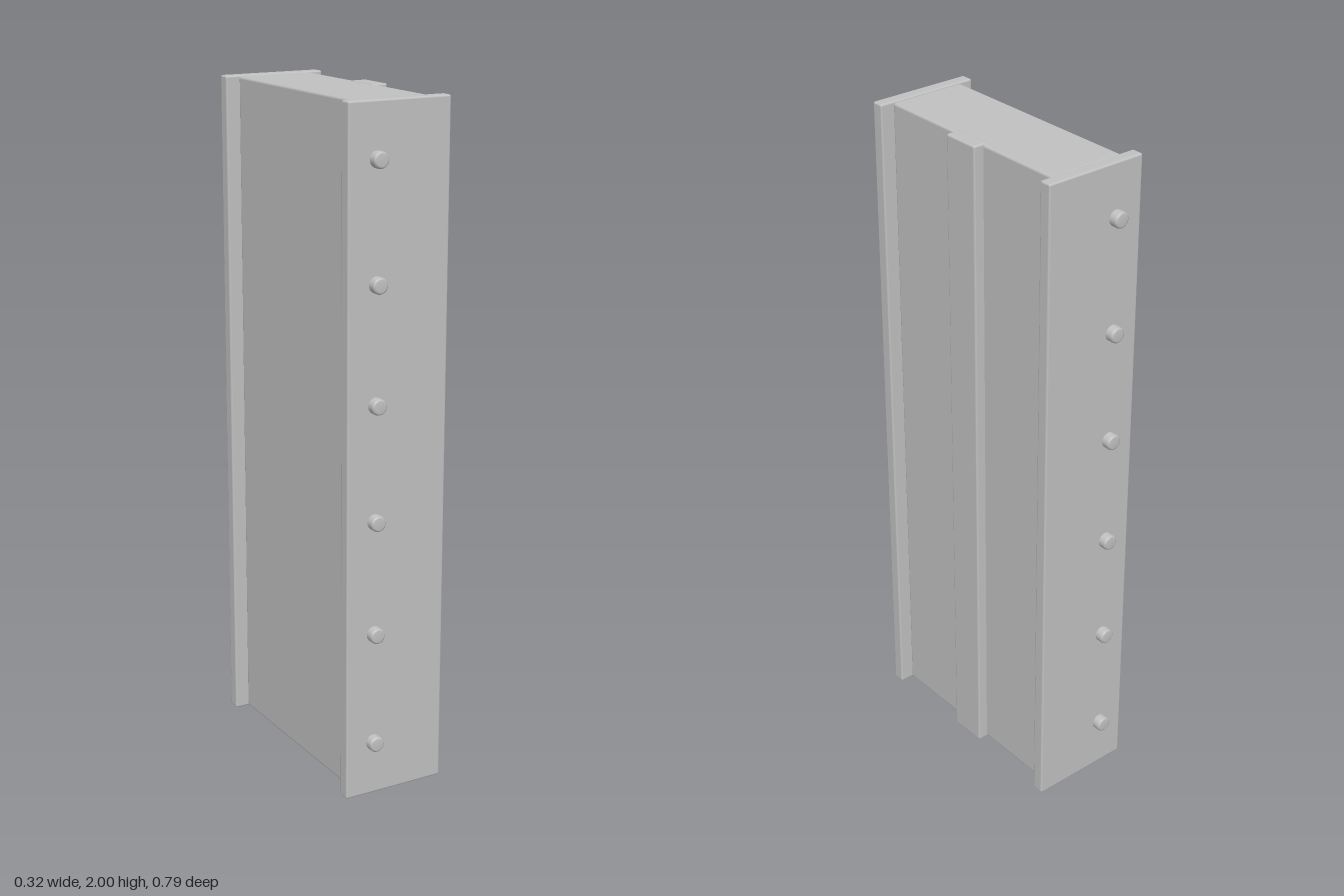
import * as THREE from 'three';
import { RoundedBoxGeometry } from 'three/addons/geometries/RoundedBoxGeometry.js';

export function createModel() {
  const model = new THREE.Group();
  const steel = new THREE.MeshStandardMaterial({ color: 0xc0c0c0 });
  steel.name = 'steel grey';

  // Softly bevelled block given by its minimum and maximum corners
  function block(name, min, max, bevel) {
    const size = max.map((v, i) => v - min[i]);
    const mesh = new THREE.Mesh(new RoundedBoxGeometry(...size, 2, bevel), steel);
    mesh.name = name;
    mesh.position.set(...max.map((v, i) => (v + min[i]) / 2));
    model.add(mesh);
  }

  // Core slab and the rib along its left side
  block('body', [-0.119, 0.003, -0.334], [0.117, 1.997, 0.332], 0.008);
  block('rib', [0.1, 0, -0.06], [0.148, 2, 0.057], 0.006);

  // Flange plates closing the front and back
  block('frontFlange', [-0.16, 0, 0.33], [0.158, 2, 0.368], 0.006);
  block('backFlange', [-0.16, 0, -0.371], [0.158, 2, -0.333], 0.006);

  // Row of chamfered bolts on each flange
  const profile = [[0.0235, 0], [0.0235, 0.037], [0.0215, 0.042], [0.017, 0.044], [0, 0.044]];
  const boltGeometry = new THREE.LatheGeometry(profile.map(([r, h]) => new THREE.Vector2(r, h)), 24);
  boltGeometry.rotateX(Math.PI / 2);
  for (const side of [1, -1]) {
    const row = new THREE.Group();
    row.name = side > 0 ? 'frontBolts' : 'backBolts';
    for (let i = 0; i < 6; i++) {
      const bolt = new THREE.Mesh(boltGeometry, steel);
      bolt.name = 'bolt';
      bolt.position.set(-0.0715, 0.163 + i * 0.3363, side > 0 ? 0.35 : -0.353);
      if (side < 0) bolt.rotation.y = Math.PI;
      row.add(bolt);
    }
    model.add(row);
  }
  return model;
}
